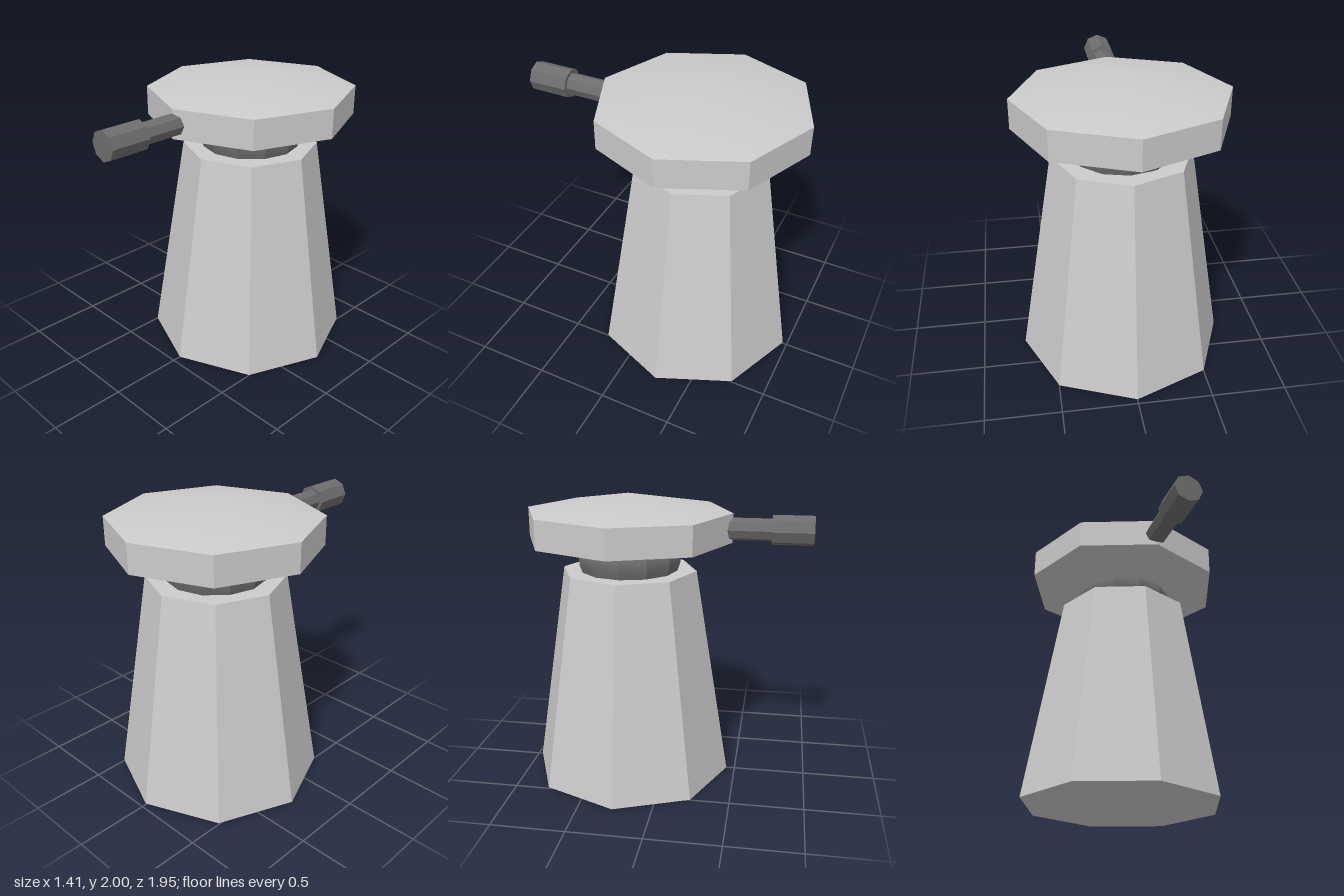
import * as THREE from 'three';
import { toCreasedNormals } from 'three/addons/utils/BufferGeometryUtils.js';

const AXIS_Z = -0.265; // the tower stands behind the centre, the barrel reaches forward
const LEAN = 0.007;

const light = new THREE.MeshStandardMaterial({ color: 0xcccccc });
const dark = new THREE.MeshStandardMaterial({ color: 0x6d6d6d });

// Faceted solid of revolution; profile runs from bottom to top
function turned(name, profile, sides, material) {
  const lathe = new THREE.LatheGeometry(profile.map(([r, y]) => new THREE.Vector2(r, y)), sides);
  const mesh = new THREE.Mesh(toCreasedNormals(lathe, Math.PI / 8), material);
  mesh.name = name;
  return mesh;
}

// Slight forward lean: y rises toward the back
function lean(mesh, affects = () => true) {
  const p = mesh.geometry.attributes.position;
  for (let i = 0; i < p.count; i++) {
    if (affects(p.getY(i))) p.setY(i, p.getY(i) - LEAN * p.getZ(i));
  }
  return mesh;
}

export function createModel() {
  const model = new THREE.Group();
  model.name = 'turret';

  const tower = new THREE.Group();
  tower.name = 'tower';
  tower.position.z = AXIS_Z;
  model.add(tower);

  // Tapered octagonal pedestal
  tower.add(lean(
    turned('pedestal', [[0, 0.005], [0.706, 0.005], [0.467, 1.48], [0, 1.48]], 8, light),
    (y) => y < 1));

  // Rounded swivel neck
  tower.add(turned('neck', [[0, 1.42], [0.32, 1.44], [0.355, 1.54], [0.355, 1.59], [0.335, 1.64], [0, 1.7]], 12, dark));

  // Octagonal head with shallow cones above and below
  tower.add(lean(
    turned('head', [[0, 1.575], [0.706, 1.688], [0.706, 1.885], [0, 2]], 8, light)));

  // Barrel and thicker muzzle, pointing forward
  const barrelParts = [['barrel', 0.075, 0.1, 0.72], ['muzzle', 0.1, 0.7, 0.975]];
  for (const [name, r, z0, z1] of barrelParts) {
    const part = turned(name, [[0, z0], [r, z0], [r, z1], [0, z1]], 8, dark);
    part.rotation.x = Math.PI / 2;
    part.position.y = 1.777;
    model.add(part);
  }

  return model;
}
